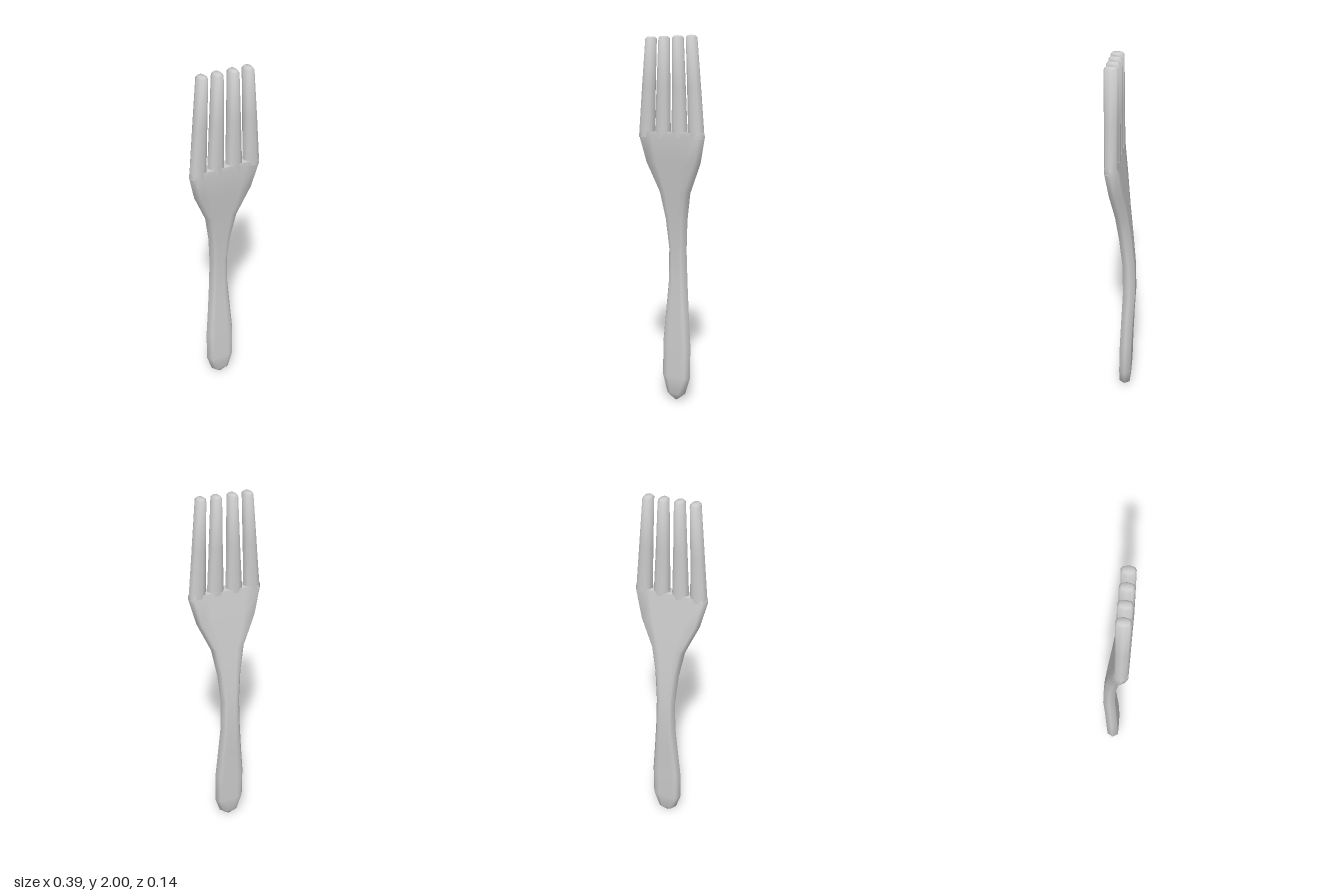
import * as THREE from 'three';
import { toCreasedNormals } from 'three/addons/utils/BufferGeometryUtils.js';

// Skins stacked horizontal sections; each ring is [y, xCentre, zCentre, halfWidth, halfDepth]
function loft(rings, section) {
  const pos = [], index = [];
  const n = section(1, 1).length;
  for (const [y, x, z, w, d] of rings) {
    for (const [px, pz] of section(w, d)) pos.push(x + px, y, z + pz);
  }
  for (let i = 0; i < rings.length - 1; i++) {
    for (let j = 0; j < n; j++) {
      const a = i * n + j, b = i * n + (j + 1) % n;
      index.push(a, a + n, b, b, a + n, b + n);
    }
  }
  // end caps
  const last = rings.length - 1, base = pos.length / 3;
  for (const i of [0, last]) pos.push(rings[i][1], rings[i][0], rings[i][2]);
  for (let j = 0; j < n; j++) {
    const k = (j + 1) % n;
    index.push(base, j, k, base + 1, last * n + k, last * n + j);
  }
  const geometry = new THREE.BufferGeometry();
  geometry.setAttribute('position', new THREE.Float32BufferAttribute(pos, 3));
  geometry.setIndex(index);
  return toCreasedNormals(geometry, 1.35);
}

// Flat bar with bevelled edges
function barSection(w, d) {
  const f = w - Math.min(0.02, w * 0.45);
  return [[w, 0], [f, d], [f * 0.6, d], [-f * 0.6, d], [-f, d],
    [-w, 0], [-f, -d], [-f * 0.6, -d], [f * 0.6, -d], [f, -d]];
}

// Prong with broad front and back faces and rounded sides
function prongSection(w, d) {
  return [[w, 0], [w * 0.72, d * 0.8], [w * 0.3, d], [-w * 0.3, d], [-w * 0.72, d * 0.8],
    [-w, 0], [-w * 0.72, -d * 0.8], [-w * 0.3, -d], [w * 0.3, -d], [w * 0.72, -d * 0.8]];
}

export function createModel() {
  const group = new THREE.Group();
  group.name = 'fork';
  const metal = new THREE.MeshStandardMaterial({ color: 0xcccccc });
  metal.name = 'light grey metal';
  const add = (name, geometry) => {
    const mesh = new THREE.Mesh(geometry, metal);
    mesh.name = name;
    group.add(mesh);
  };

  // Handle, neck and head as one continuous curved body
  add('handleAndHead', loft([
    [0.005, 0, -0.015, 0.006, 0.004],
    [0.05, 0, -0.015, 0.058, 0.030],
    [0.15, 0, -0.018, 0.087, 0.033],
    [0.34, 0, -0.022, 0.086, 0.033],
    [0.54, 0, -0.030, 0.070, 0.033],
    [0.70, 0, -0.038, 0.058, 0.034],
    [0.88, 0, -0.034, 0.054, 0.033],
    [1.05, 0, -0.018, 0.067, 0.033],
    [1.20, 0, 0.000, 0.093, 0.033],
    [1.36, 0, 0.022, 0.162, 0.033],
    [1.50, 0, 0.039, 0.195, 0.033],
    [1.52, 0, 0.040, 0.192, 0.031],
  ], barSection));

  // Four prongs, tapering and leaning slightly towards the middle
  for (const side of [-1, 1]) {
    for (const [name, x0, x1] of [['inner', 0.050, 0.040], ['outer', 0.147, 0.117]]) {
      add(name + (side > 0 ? 'LeftProng' : 'RightProng'), loft([
        [1.49, side * x0, 0.039, 0.046, 0.033],
        [1.75, side * (x0 + x1) / 2, 0.040, 0.036, 0.033],
        [1.99, side * x1, 0.040, 0.026, 0.033],
        [2.00, side * x1, 0.040, 0.017, 0.024],
      ], prongSection));
    }
  }
  return group;
}
